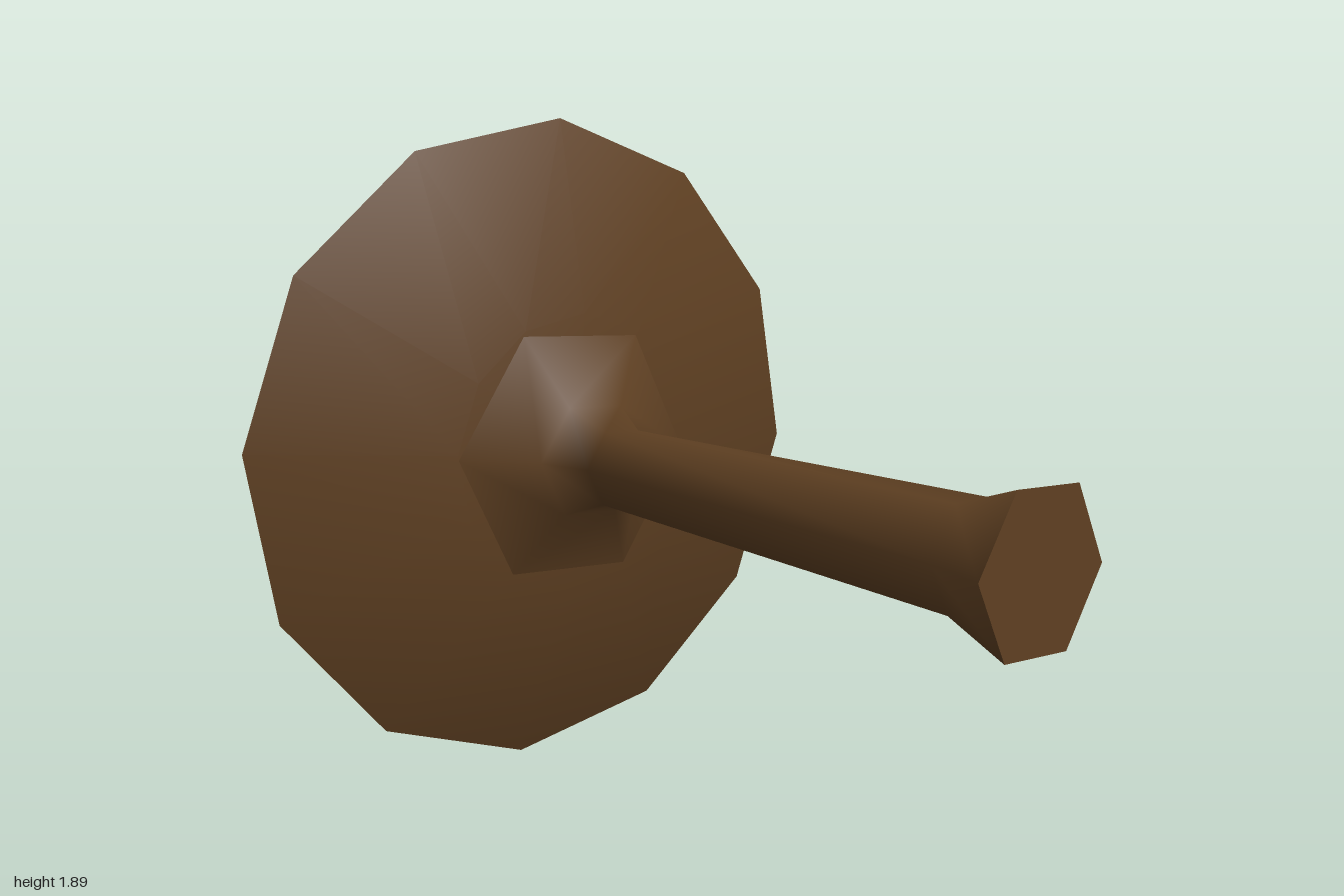
import * as THREE from 'three';
import { mergeVertices } from 'three/addons/utils/BufferGeometryUtils.js';

// Skin a front-to-back list of polygon rings: [cx, cy, z, radius, tilt]
function loft(rings, sides, startAngle) {
  const pos = [], index = [];
  rings.forEach(([cx, cy, z, r, tilt = 0]) => {
    for (let j = 0; j < sides; j++) {
      const a = startAngle + (j / sides) * Math.PI * 2;
      const dx = Math.cos(a) * r, dy = Math.sin(a) * r;
      pos.push(cx + dx, cy + dy, z + tilt * (0.047 * dx + 0.02 * dy));
    }
  });
  for (let i = 0; i < rings.length - 1; i++) {
    for (let j = 0; j < sides; j++) {
      const a = i * sides + j, b = i * sides + (j + 1) % sides;
      const c = a + sides, d = b + sides;
      if (rings[i][3] > 0) index.push(a, c, b);
      if (rings[i + 1][3] > 0) index.push(b, c, d);
      else index.push(a, c, b);
      if (rings[i][3] === 0) index.push(a, c, d);
    }
  }
  const geo = new THREE.BufferGeometry();
  geo.setAttribute('position', new THREE.Float32BufferAttribute(pos, 3));
  geo.setIndex(index);
  const merged = mergeVertices(geo, 1e-4);
  merged.computeVertexNormals();
  return merged;
}

export function createModel() {
  const group = new THREE.Group();
  const wood = new THREE.MeshStandardMaterial({ color: 0x5f4022 });
  wood.name = 'dark brown';
  const add = (name, geo) => {
    const mesh = new THREE.Mesh(geo, wood);
    mesh.name = name;
    group.add(mesh);
  };
  const hexAngle = THREE.MathUtils.degToRad(-4);

  // Six-sided stem, flaring at the tip and where it meets the disc
  const tip = [-0.065, 0.925, 1, 0.225];
  add('stem', loft([
    tip,
    [-0.065, 0.925, 0.8, 0.15],
    [-0.03, 0.943, -0.5, 0.118],
    [-0.022, 0.945, -0.632, 0.178, 1],
    [-0.005, 0.948, -0.735, 0.395, 1],
  ], 6, hexAngle));

  // Flat end of the stem
  add('stemEnd', loft([[tip[0], tip[1], 1, 0], tip], 6, hexAngle));

  // Twelve-sided, slightly tilted disc with a hollow back
  add('disc', loft([
    [0, 0.955, -0.735, 0, 1],
    [0, 0.955, -0.738, 0.4, 1],
    [0, 0.955, -0.908, 0.95, 1],
    [0, 0.955, -0.957, 0.9, 1],
    [0, 0.955, -0.945, 0.83, 1],
    [0, 0.955, -0.84, 0.4, 1],
    [0, 0.955, -0.8, 0, 1],
  ], 12, THREE.MathUtils.degToRad(-5)));

  return group;
}
